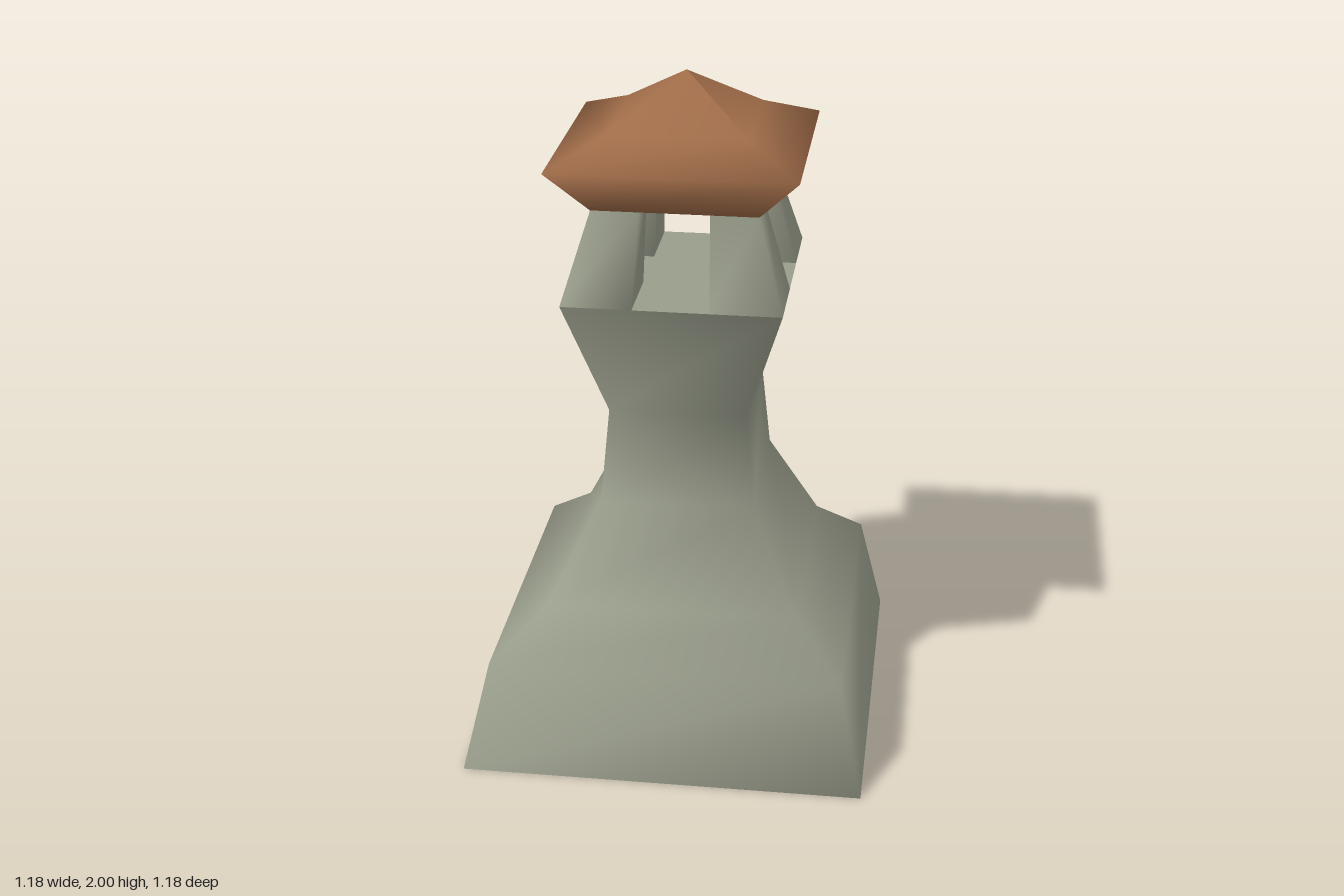
import * as THREE from 'three';

// Smooth four-sided loft; each ring is [y, xMin, xMax, zMin, zMax]
function loft(rings, capTop = false, capBottom = false) {
  const pos = [], idx = [];
  for (const [y, x0, x1, z0, z1] of rings) {
    pos.push(x0, y, z1, x1, y, z1, x1, y, z0, x0, y, z0);
  }
  for (let r = 0; r < rings.length - 1; r++) {
    for (let i = 0; i < 4; i++) {
      const a = r * 4 + i, b = r * 4 + (i + 1) % 4;
      idx.push(a, b, b + 4, a, b + 4, a + 4);
    }
  }
  const t = (rings.length - 1) * 4;
  if (capTop) idx.push(t, t + 1, t + 2, t, t + 2, t + 3);
  if (capBottom) idx.push(0, 2, 1, 0, 3, 2);
  const g = new THREE.BufferGeometry();
  g.setAttribute('position', new THREE.Float32BufferAttribute(pos, 3));
  g.setIndex(idx);
  g.computeVertexNormals();
  return g;
}

export function createModel() {
  const model = new THREE.Group();
  const stone = new THREE.MeshStandardMaterial({ color: 0x999d8b, side: THREE.DoubleSide });
  stone.name = 'grey stone';
  const tile = new THREE.MeshStandardMaterial({ color: 0xa16d49 });
  tile.name = 'brown roof';

  const add = (name, geometry, material) => {
    const mesh = new THREE.Mesh(geometry, material);
    mesh.name = name;
    model.add(mesh);
    return mesh;
  };

  // Tower body, open underneath, flaring at the foot and below the lantern
  add('towerBody', loft([
    [0, -0.593, 0.59, -0.59, 0.593],
    [0.325, -0.52, 0.518, -0.518, 0.52],
    [0.455, -0.368, 0.378, -0.377, 0.37],
    [0.745, -0.225, 0.232, -0.245, 0.24],
    [1.03, -0.2, 0.204, -0.223, 0.217],
    [1.4, -0.315, 0.315, -0.315, 0.35],
  ]), stone);

  // Flat lantern floor
  const floor = new THREE.PlaneGeometry(0.63, 0.665).rotateX(-Math.PI / 2);
  add('lanternFloor', floor.translate(0, 1.4, 0.0175), stone);

  // Four leaning corner pillars
  const span = (s, inner, outer) => (s > 0 ? [inner, outer] : [-outer, -inner]);
  for (const sx of [-1, 1]) {
    for (const sz of [-1, 1]) {
      const front = sz > 0;
      add((front ? 'front' : 'back') + (sx > 0 ? 'Left' : 'Right') + 'Pillar', loft([
        [1.4, ...span(sx, 0.11, 0.315), ...span(sz, front ? 0.123 : 0.09, front ? 0.35 : 0.315)],
        [1.665, ...span(sx, 0.1, 0.236), ...span(sz, front ? 0.112 : 0.085, front ? 0.262 : 0.235)],
      ]), stone);
    }
  }

  // Overhanging pointed roof with closed underside
  add('roof', loft([
    [1.66, -0.238, 0.238, -0.238, 0.264],
    [1.79, -0.355, 0.355, -0.358, 0.354],
    [1.862, -0.2, 0.2, -0.2, 0.2],
    [2, -0.001, 0.001, -0.001, 0.001],
  ], true, true), tile);

  return model;
}
